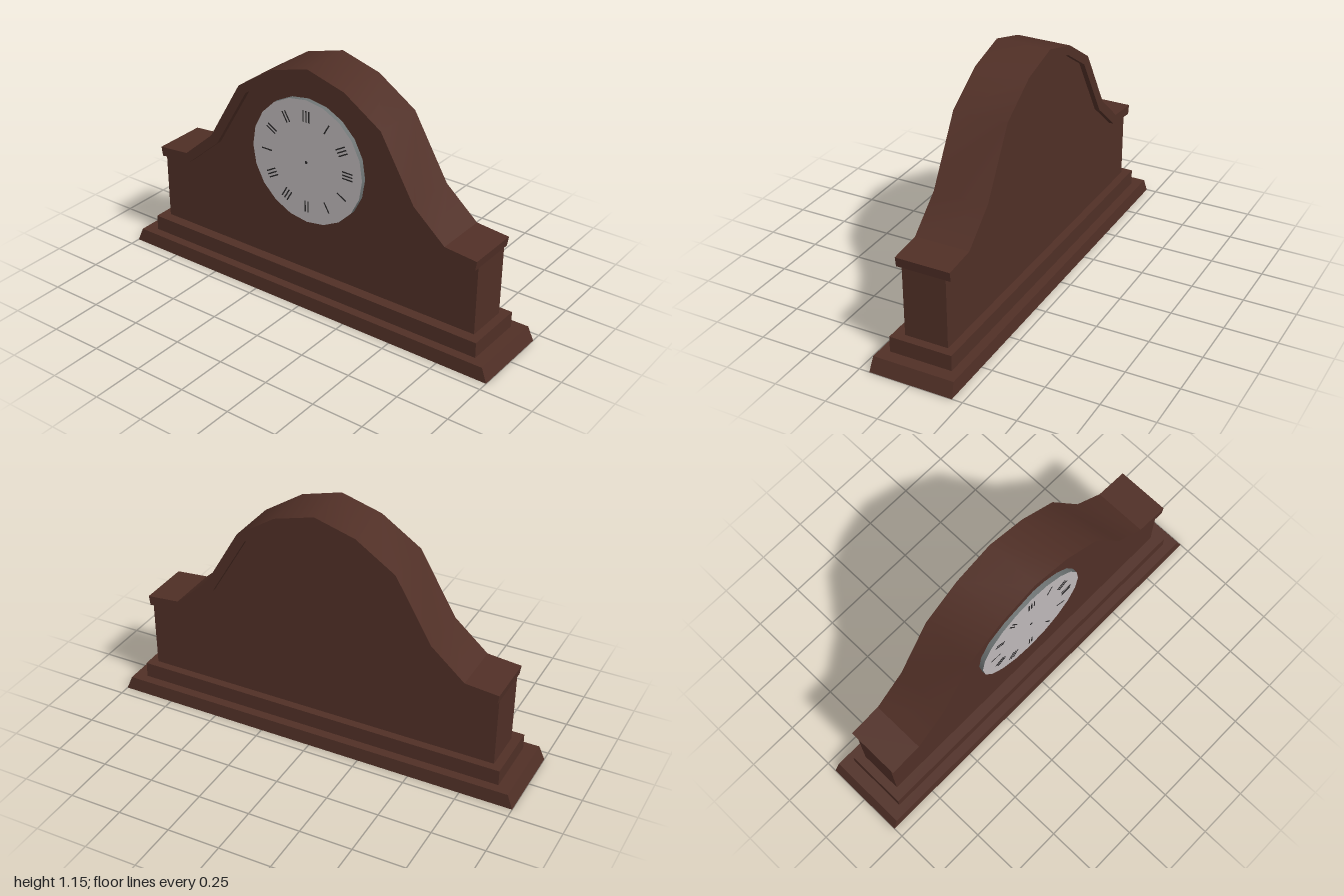
import * as THREE from 'three';
import { toCreasedNormals } from 'three/addons/utils/BufferGeometryUtils.js';

const material = (name, color) => {
  const m = new THREE.MeshStandardMaterial({ color });
  m.name = name;
  return m;
};

// Right half of each outline, from the shoulder end up to the crown
const OUTER = [[0.88, 0.52], [0.72, 0.535], [0.56, 0.675], [0.385, 0.975], [0.195, 1.1], [0, 1.155]];
const INNER = [[0.873, 0.474], [0.7, 0.495], [0.525, 0.645], [0.345, 0.95], [0.178, 1.06], [0, 1.11]];

const mirrored = (half) => [...half, ...half.slice(0, -1).reverse().map(([x, y]) => [-x, y])];

// Extrudes an outline between two depths, keeping sharp edges
function slab(points, back, front) {
  const shape = new THREE.Shape(points.map(([x, y]) => new THREE.Vector2(x, y)));
  const geo = new THREE.ExtrudeGeometry(shape, { depth: front - back, bevelEnabled: false });
  geo.translate(0, 0, back);
  return toCreasedNormals(geo, 0.59);
}

export function createModel() {
  const wood = material('dark wood', 0x502f26);
  const enamel = material('dial enamel', 0xbcb7b8);
  const steel = material('bezel steel', 0x6f7575);
  const ink = material('dial ink', 0x2a2829);

  const group = new THREE.Group();
  group.name = 'mantelClock';
  const add = (name, geo, mat, parent = group) => {
    const mesh = new THREE.Mesh(geo, mat);
    mesh.name = name;
    parent.add(mesh);
    return mesh;
  };

  // Plinth with sloping sides
  const plinth = new THREE.BoxGeometry(2, 0.067, 0.4).translate(0, 0.0335, 0);
  const p = plinth.attributes.position;
  for (let i = 0; i < p.count; i++) {
    if (p.getY(i) > 0.03) p.setXYZ(i, p.getX(i) * 0.973, p.getY(i), p.getZ(i) * 0.972);
  }
  plinth.computeVertexNormals();
  add('plinth', plinth, wood);

  // Step above the plinth
  add('step', new THREE.BoxGeometry(1.824, 0.076, 0.3).translate(0, 0.104, 0), wood);

  // Case body and the moulding that follows its top
  add('caseBody', slab([[-0.87, 0.142], [0.87, 0.142], ...mirrored(INNER)], -0.11, 0.098), wood);
  add('topMoulding', slab([...mirrored(OUTER), ...mirrored(INNER).reverse()], -0.134, 0.125), wood);

  // Dial: rim drum with an enamel face
  const dial = new THREE.Group();
  dial.name = 'dial';
  dial.position.set(-0.01, 0.705, 0.097);
  group.add(dial);
  const R = 0.301;
  const drum = new THREE.CylinderGeometry(R, R, 0.024, 20).rotateX(Math.PI / 2).translate(0, 0, 0.012);
  add('dialDrum', drum, [steel, enamel, steel], dial);

  // Hour marks: small bundles of radial strokes, clockwise from the top
  const strokes = [3, 1, 3, 3, 1, 1, 2, 3, 3, 1, 2, 2];
  strokes.forEach((count, hour) => {
    const mark = new THREE.Group();
    mark.name = 'hourMark';
    mark.rotation.z = -hour * Math.PI / 6;
    dial.add(mark);
    for (let k = 0; k < count; k++) {
      const x = (k - (count - 1) / 2) * 0.016;
      add('stroke', new THREE.BoxGeometry(0.006, 0.055, 0.002).translate(x, 0.222, 0.0245), ink, mark);
    }
  });
  add('centrePin', new THREE.CylinderGeometry(0.007, 0.007, 0.003, 8).rotateX(Math.PI / 2).translate(0, 0, 0.025), ink, dial);

  return group;
}
